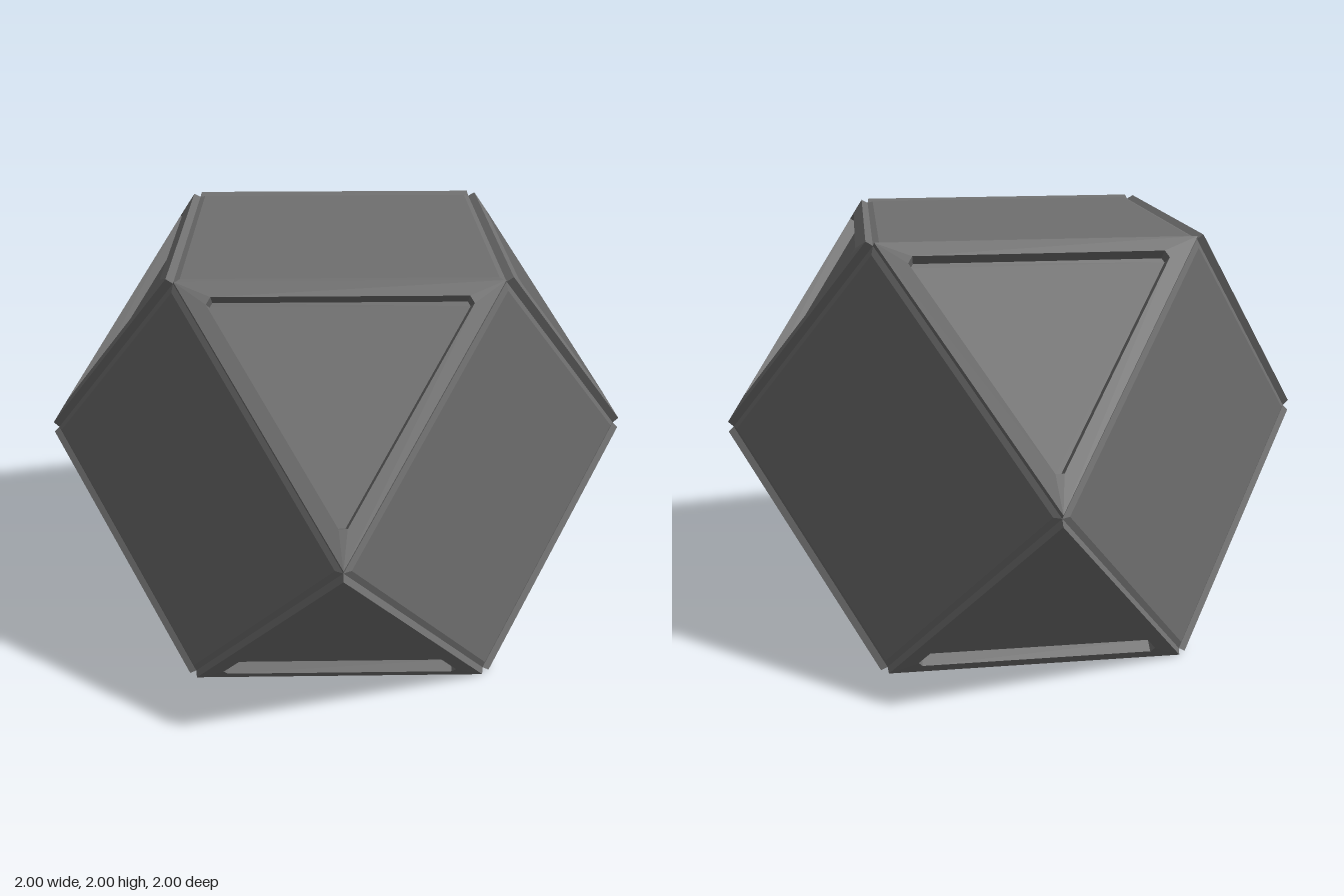
import * as THREE from 'three';

const material = new THREE.MeshStandardMaterial({ color: 0x6f6f6f, flatShading: true });

// Joins successive rings of equal length, from the outside inward, and caps the last one.
function loftRings(rings) {
  const pos = [];
  const tri = (a, b, c) => {
    const n = b.clone().sub(a).cross(c.clone().sub(a));
    if (n.length() > 1e-9) for (const p of [a, b, c]) pos.push(p.x, p.y, p.z);
  };
  const count = rings[0].length;
  for (let r = 0; r < rings.length - 1; r++) {
    const lo = rings[r], hi = rings[r + 1];
    for (let i = 0; i < count; i++) {
      const j = (i + 1) % count;
      tri(lo[i], lo[j], hi[j]);
      tri(lo[i], hi[j], hi[i]);
    }
  }
  const cap = rings[rings.length - 1];
  for (let i = 1; i < count - 1; i++) tri(cap[0], cap[i], cap[i + 1]);
  const geo = new THREE.BufferGeometry();
  geo.setAttribute('position', new THREE.Float32BufferAttribute(pos, 3));
  geo.computeVertexNormals();
  return geo;
}

// Triangle with clipped corners: the six orderings of (a, b, c), mirrored into an octant.
function cornerRing(a, b, c, [sx, sy, sz]) {
  const pts = [[a, b, c], [b, a, c], [c, a, b], [c, b, a], [b, c, a], [a, c, b]]
    .map(([x, y, z]) => new THREE.Vector3(x * sx, y * sy, z * sz));
  return sx * sy * sz < 0 ? pts.reverse() : pts;
}

// Diamond of half-diagonal r at height z.
function diamondRing(r, z) {
  return [[r, 0], [0, r], [-r, 0], [0, -r]].map(([x, y]) => new THREE.Vector3(x, y, z));
}

export function createModel() {
  const model = new THREE.Group();
  const solid = new THREE.Group();
  solid.name = 'cuboctahedron';
  solid.position.y = 1;
  model.add(solid);

  const add = (geo, name) => {
    const mesh = new THREE.Mesh(geo, material);
    mesh.name = name;
    solid.add(mesh);
    return mesh;
  };

  // Six square faces with a shallow bevelled border
  const square = loftRings([diamondRing(0.982, 0.982), diamondRing(0.945, 0.993)]);
  const front = new THREE.Vector3(0, 0, 1);
  for (const axis of [[1, 0, 0], [0, 1, 0], [0, 0, 1]]) {
    for (const s of [1, -1]) {
      const dir = new THREE.Vector3(...axis).multiplyScalar(s);
      add(square, 'squareFace').quaternion.setFromUnitVectors(front, dir);
    }
  }

  // Eight raised triangular frames, each with a recessed panel
  for (const sx of [1, -1]) for (const sy of [1, -1]) for (const sz of [1, -1]) {
    const s = [sx, sy, sz];
    add(loftRings([
      cornerRing(0.982, 0.982, 0, s),      // foot of the frame
      cornerRing(1, 1, 0.025, s),          // raised outer rim
      cornerRing(0.948, 0.922, 0.165, s),  // edge of the recess
      cornerRing(0.908, 0.892, 0.14, s),   // recessed floor
    ]), 'triangularFrame');
  }
  return model;
}
